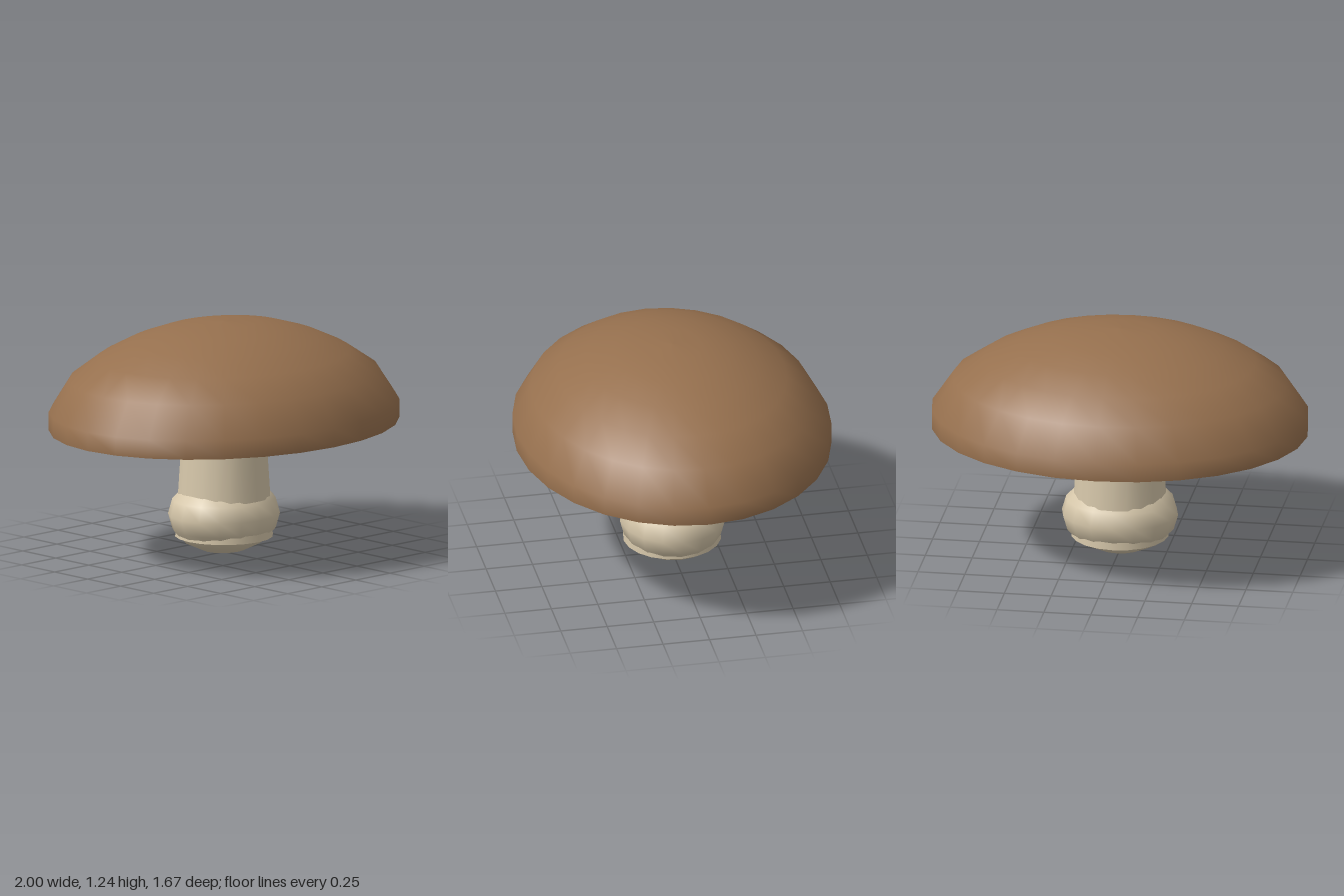
import * as THREE from 'three';

const CAP_DEPTH = 0.835; // the cap is an ellipse seen from above
const SEGMENTS = 28;

function lathe(name, points, material) {
  const profile = points.map(([r, y]) => new THREE.Vector2(r, y));
  const mesh = new THREE.Mesh(new THREE.LatheGeometry(profile, SEGMENTS), material);
  mesh.scale.z = CAP_DEPTH;
  mesh.name = name;
  return mesh;
}

export function createModel() {
  const brown = new THREE.MeshStandardMaterial({ color: 0x96704e });
  brown.name = 'cap brown';
  const cream = new THREE.MeshStandardMaterial({ color: 0xd6c7aa });
  cream.name = 'stem cream';
  const tan = new THREE.MeshStandardMaterial({ color: 0xc6b594 });
  tan.name = 'underside tan';

  const group = new THREE.Group();
  group.name = 'mushroom';

  // Domed cap, with a narrow lip that rounds the shading at the rim
  group.add(lathe('cap', [
    [0.995, 0.69], [1, 0.69], [1, 0.79], [0.885, 0.96], [0.72, 1.07],
    [0.545, 1.15], [0.365, 1.205], [0.185, 1.235], [0, 1.243],
  ], brown));

  // Flat underside, turned up inside the rim
  group.add(lathe('capUnderside', [
    [0, 0.69], [0.93, 0.69], [0.995, 0.69], [0.995, 0.7],
  ], tan));

  // Tapered stem
  const stem = new THREE.Mesh(new THREE.CylinderGeometry(0.22, 0.26, 0.62, 20), cream);
  stem.position.y = 0.4;
  stem.name = 'stem';
  group.add(stem);

  // Swollen base around the foot of the stem
  const bulb = new THREE.Mesh(new THREE.SphereGeometry(1, 16, 8), cream);
  bulb.scale.set(0.31, 0.21, 0.28);
  bulb.position.y = 0.21;
  bulb.name = 'stemBulb';
  group.add(bulb);

  return group;
}
